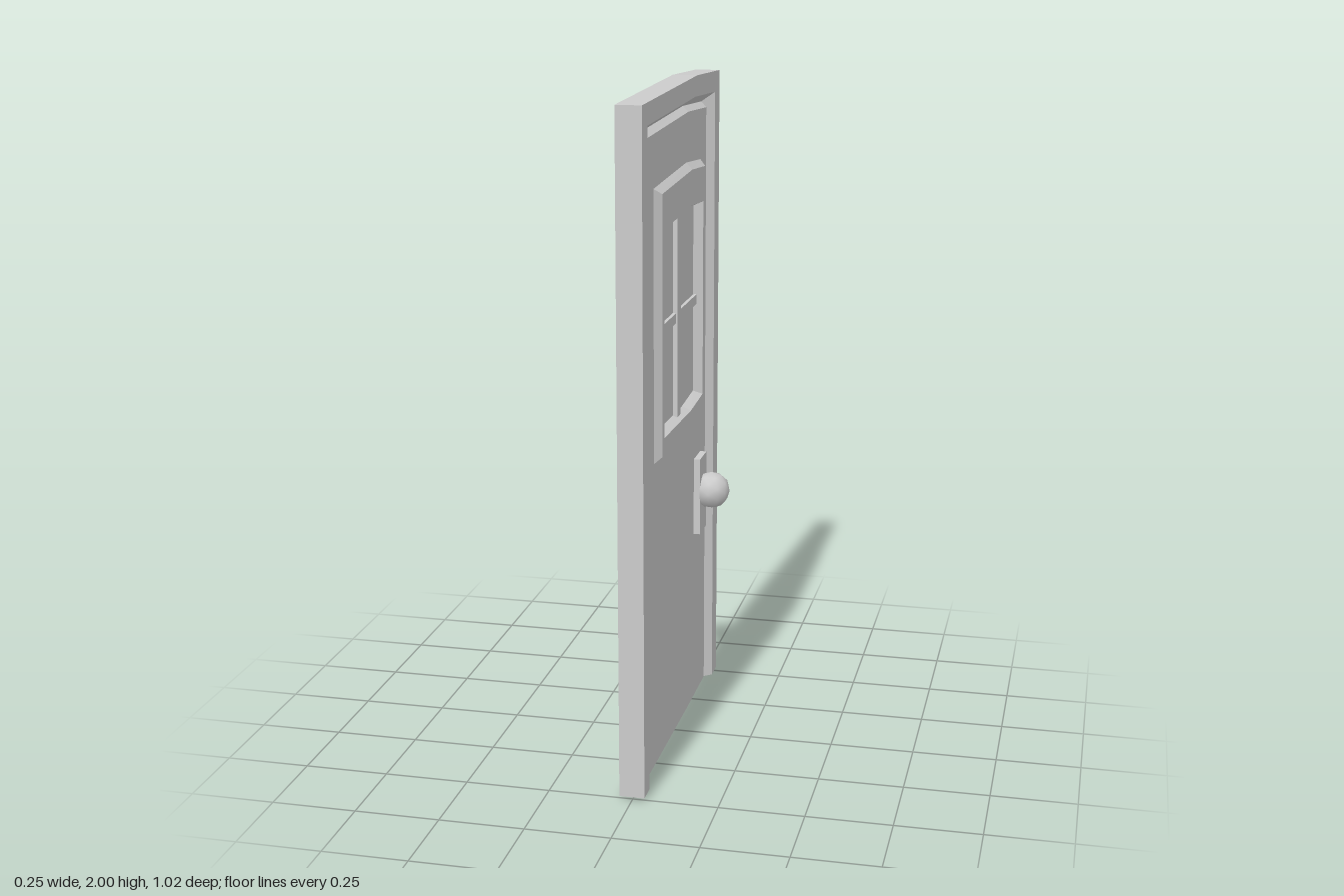
import * as THREE from 'three';

const grey = new THREE.MeshStandardMaterial({ color: 0xcccccc, flatShading: true, side: THREE.DoubleSide });
const smooth = new THREE.MeshStandardMaterial({ color: 0xcccccc });

// Slightly crooked rectangle at depth x; top and bottom edges bow at an off-centre point
function ring(x, z0, z1, y0, y1, bowTop = 0.014, bowBottom = 0) {
  const zm = z0 * 0.32 + z1 * 0.68;
  return [[x, y0, z0], [x, y0 - bowBottom, zm], [x, y0, z1], [x, y1, z1], [x, y1 + bowTop, zm], [x, y1, z0]];
}

// Door-frame arch: open at the floor
function arch(x, z0, z1, y1) {
  const y0 = 0.01, zm = z0 * 0.32 + z1 * 0.68;
  return [[x, y0, z1], [x, y1, z1], [x, y1 + 0.014, zm], [x, y1, z0], [x, y0, z0]];
}

// Faceted surface through successive rings; side = -1 mirrors it to the other face
function loft(name, rings, side, closed = true, cap = false) {
  const pos = [];
  const tri = (a, b, c) => {
    for (const p of side > 0 ? [a, b, c] : [a, c, b]) pos.push(p[0] * side, p[1], p[2]);
  };
  for (let r = 0; r < rings.length - 1; r++) {
    const a = rings[r], b = rings[r + 1], n = a.length;
    for (let i = 0; i < (closed ? n : n - 1); i++) {
      const j = (i + 1) % n;
      tri(a[i], a[j], b[j]);
      tri(a[i], b[j], b[i]);
    }
  }
  if (cap) {
    const last = rings[rings.length - 1];
    for (let i = 1; i < last.length - 1; i++) tri(last[0], last[i], last[i + 1]);
  }
  const geo = new THREE.BufferGeometry();
  geo.setAttribute('position', new THREE.Float32BufferAttribute(pos, 3));
  geo.computeVertexNormals();
  const mesh = new THREE.Mesh(geo, grey);
  mesh.name = name;
  return mesh;
}

// Box given by its limits on one side of the door
function slab(name, side, x0, x1, y0, y1, z0, z1) {
  const mesh = new THREE.Mesh(new THREE.BoxGeometry(x1 - x0, y1 - y0, z1 - z0), grey);
  mesh.position.set(side * (x0 + x1) / 2, (y0 + y1) / 2, (z0 + z1) / 2);
  mesh.name = name;
  return mesh;
}

export function createModel() {
  const door = new THREE.Group();
  door.name = 'door';

  const leafEdge = ring(0, 0.41, -0.41, 0.004, 1.897, 0.014, 0.004);
  const leafFace = ring(0.02, 0.394, -0.39, 0.022, 1.882, 0.014, 0.003);
  const windowBase = ring(0.02, 0.31, -0.305, 0.95, 1.735, 0.016, 0.014);
  const windowFront = ring(0.04, 0.288, -0.284, 0.966, 1.718, 0.014, 0.012);
  const windowInner = ring(0.04, 0.262, -0.258, 1.015, 1.615, 0.012, 0.01);
  const paneEdge = ring(0.012, 0.247, -0.245, 1.027, 1.603, 0.012, 0.01);

  for (const side of [1, -1]) {
    const half = new THREE.Group();
    half.name = side > 0 ? 'leftFace' : 'rightFace';

    // Surrounding frame with a sloped inner edge
    half.add(loft('doorFrame', [
      arch(0, 0.51, -0.506, 1.984),
      arch(0.037, 0.51, -0.506, 1.984),
      arch(0.037, 0.447, -0.44, 1.924),
      arch(0, 0.41, -0.41, 1.897),
    ], side, false));

    // Bevelled leaf, raised window surround and recessed pane
    half.add(loft('doorLeaf', [leafEdge, leafFace, windowBase], side));
    half.add(loft('windowFrame', [windowBase, windowFront, windowInner, paneEdge], side));
    half.add(loft('windowPane', [paneEdge], side, true, true));

    // Crossing window bars
    half.add(slab('verticalBar', side, 0.005, 0.026, 1.015, 1.62, -0.01, 0.034));
    half.add(slab('horizontalBar', side, 0.005, 0.022, 1.3, 1.33, -0.25, 0.252));

    // Handle plate and low-poly knob
    half.add(slab('handlePlate', side, 0.015, 0.04, 0.568, 0.812, -0.32, -0.226));
    const knob = new THREE.Mesh(new THREE.IcosahedronGeometry(0.058, 1), smooth);
    knob.position.set(side * 0.067, 0.702, -0.273);
    knob.name = 'knob';
    half.add(knob);

    door.add(half);
  }
  return door;
}
